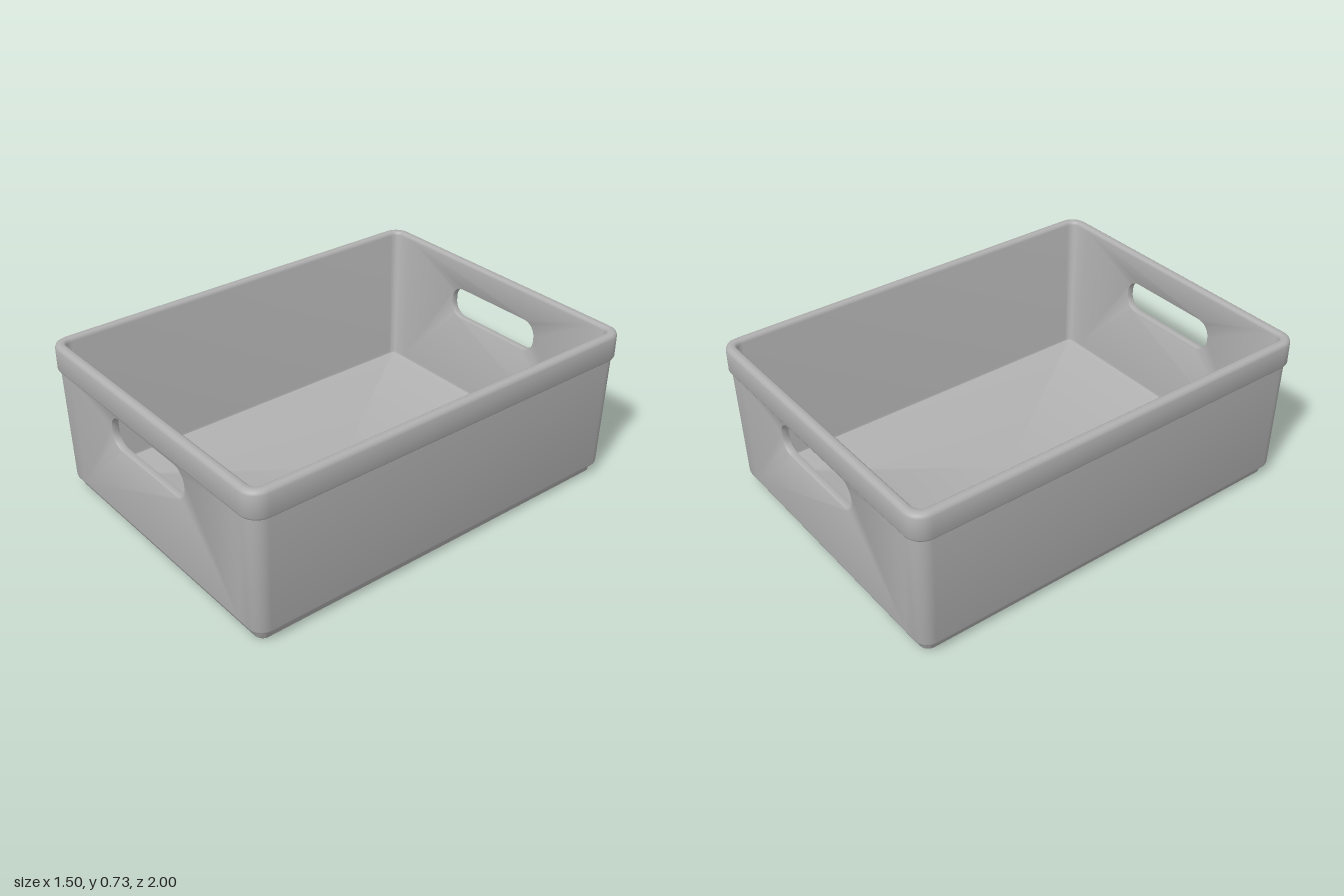
import * as THREE from 'three';
import { mergeGeometries, toCreasedNormals } from 'three/addons/utils/BufferGeometryUtils.js';

const DEPTH_EXTRA = 0.25; // half depth minus half width
const PANEL_X = 0.6; // half width of the flat end panels that hold the handle slots
const STEPS = 8;

// Wall profile: [y, half width, corner radius], up the outside and down the inside
const PROFILE = [
  [0, 0.692, 0.035], [0.008, 0.699, 0.04], [0.032, 0.701, 0.04], [0.04, 0.706, 0.045],
  [0.045, 0.717, 0.055], [0.052, 0.724, 0.06], [0.062, 0.727, 0.062],
  [0.6, 0.738, 0.072], [0.605, 0.746, 0.078], [0.614, 0.75, 0.08],
  [0.712, 0.75, 0.08], [0.723, 0.746, 0.077], [0.73, 0.736, 0.07],
  [0.73, 0.715, 0.05], [0.725, 0.707, 0.042], [0.714, 0.703, 0.038],
  [0.055, 0.689, 0.03], [0.044, 0.686, 0.028], [0.04, 0.678, 0.022],
];
const OUTER = 6, INNER = 15; // profile spans that carry the end panels

// One rounded-rectangle ring, with extra points at the end panel edges
function ring([y, hw, r]) {
  const hd = hw + DEPTH_EXTRA, pts = [];
  const signs = [[1, 1], [-1, 1], [-1, -1], [1, -1]];
  signs.forEach(([sx, sz], q) => {
    for (let i = 0; i <= STEPS; i++) {
      const a = (q + i / STEPS) * Math.PI / 2;
      pts.push(new THREE.Vector3(sx * (hw - r) + r * Math.cos(a), y, sz * (hd - r) + r * Math.sin(a)));
    }
    if (q % 2 === 0) for (const s of [1, -1]) pts.push(new THREE.Vector3(s * sx * PANEL_X, y, sz * hd));
  });
  return pts;
}

function fromPoints(points) {
  const g = new THREE.BufferGeometry().setFromPoints(points);
  return g;
}

// Skin between consecutive closed rings; skip(i, j) leaves a quad open
function skin(rings, skip = () => false) {
  const out = [];
  for (let i = 0; i < rings.length - 1; i++) {
    const A = rings[i], B = rings[i + 1];
    for (let j = 0; j < A.length; j++) {
      if (skip(i, j)) continue;
      const k = (j + 1) % A.length;
      out.push(A[j], B[j], A[k], A[k], B[j], B[k]);
    }
  }
  return fromPoints(out);
}

// Flat fan closing a ring
function cap(pts, up) {
  const c = new THREE.Vector3(0, pts[0].y, 0), out = [];
  pts.forEach((p, j) => {
    const n = pts[(j + 1) % pts.length];
    out.push(c, ...(up ? [n, p] : [p, n]));
  });
  return fromPoints(out);
}

// Depth of the leaning end wall at height y
function wallZ(span, y) {
  const [y0, w0] = PROFILE[span], [y1, w1] = PROFILE[span + 1];
  return w0 + (w1 - w0) * (y - y0) / (y1 - y0) + DEPTH_EXTRA;
}

// Rounded handle slot outline, grown by g
function slot(g) {
  const hw = 0.271 + g, hh = 0.075 + g, r = 0.065 + g, cy = 0.507, pts = [];
  [[1, 1], [-1, 1], [-1, -1], [1, -1]].forEach(([sx, sy], q) => {
    for (let i = 0; i <= STEPS; i++) {
      const a = (q + i / STEPS) * Math.PI / 2;
      pts.push(new THREE.Vector2(sx * (hw - r) + r * Math.cos(a), cy + sy * (hh - r) + r * Math.sin(a)));
    }
  });
  return pts;
}

// End panel with the slot cut out, leaned onto the wall
function panel(span, inward) {
  const ya = PROFILE[span][0], yb = PROFILE[span + 1][0];
  const y0 = Math.min(ya, yb), y1 = Math.max(ya, yb), X = PANEL_X;
  const shape = new THREE.Shape([[-X, y0], [X, y0], [X, y1], [-X, y1]].map(p => new THREE.Vector2(...p)));
  shape.holes.push(new THREE.Path(slot(0.008)));
  const flat = new THREE.ShapeGeometry(shape).toNonIndexed(), pos = flat.attributes.position, pts = [];
  for (let i = 0; i < pos.count; i++) {
    pts.push(new THREE.Vector3(pos.getX(i), pos.getY(i), wallZ(span, pos.getY(i))));
  }
  if (inward) for (let i = 0; i < pts.length; i += 3) [pts[i + 1], pts[i + 2]] = [pts[i + 2], pts[i + 1]];
  return fromPoints(pts);
}

// Softened tunnel through the wall, from the inside face to the outside
function slotTunnel() {
  const rows = [[INNER, 0.008, 0], [INNER, 0.0025, 0.0025], [INNER, 0, 0.008],
    [OUTER, 0, -0.008], [OUTER, 0.0025, -0.0025], [OUTER, 0.008, 0]];
  return skin(rows.map(([span, g, dz]) =>
    slot(g).map(p => new THREE.Vector3(p.x, p.y, wallZ(span, p.y) + dz))));
}

export function createModel() {
  const grey = new THREE.MeshStandardMaterial({ color: 0xb0b0b0 });
  grey.name = 'grey plastic';

  const rings = PROFILE.map(ring);
  const frontGap = STEPS + 1, backGap = 3 * STEPS + 5;
  const body = skin(rings, (i, j) => (i === OUTER || i === INNER) && (j === frontGap || j === backGap));

  // Front end wall, repeated at the back by a half turn
  const ends = [panel(OUTER, false), panel(INNER, true), slotTunnel()];
  const backEnds = ends.map(g => g.clone().rotateY(Math.PI));

  const parts = [body, cap(rings[0], false), cap(rings[rings.length - 1], true), ...ends, ...backEnds];
  const bin = new THREE.Mesh(toCreasedNormals(mergeGeometries(parts), 0.7), grey);
  bin.name = 'storageBin';

  const group = new THREE.Group();
  group.name = 'storageBox';
  group.add(bin);
  return group;
}
